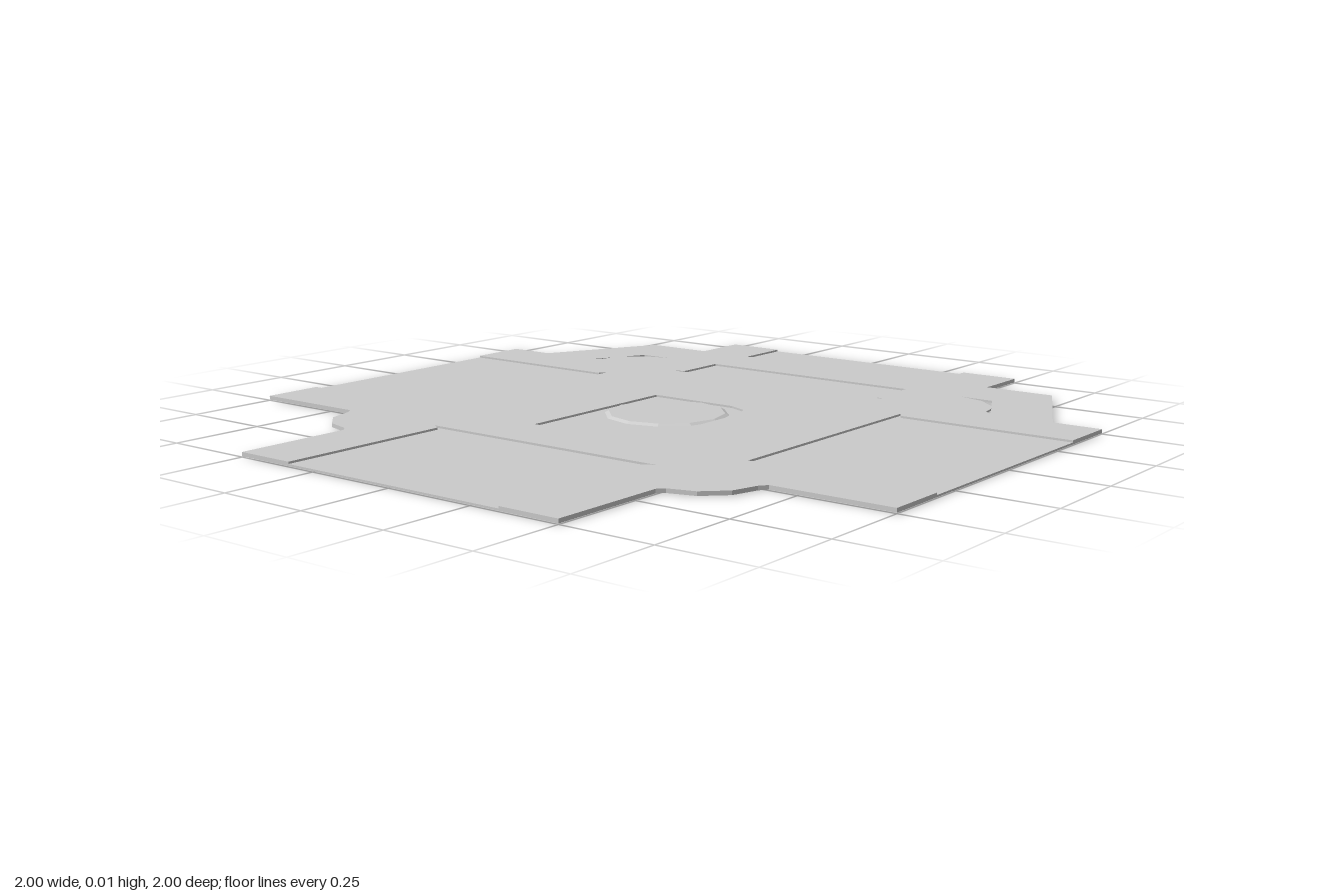
import * as THREE from 'three';

const FOOT = 0.002, FLOOR = 0.007, TOP = 0.0125;

const flip = pts => pts.map(([x, z]) => [x, -z]).reverse();
const mirrored = half => [...half, ...flip(half)];
const vectors = pts => pts.map(p => new THREE.Vector2(...p));

export function createModel() {
  const group = new THREE.Group();
  const material = new THREE.MeshStandardMaterial({ color: 0xcccccc, flatShading: true });

  const add = (name, geometry) => {
    const mesh = new THREE.Mesh(geometry, material);
    mesh.name = name;
    group.add(mesh);
    return mesh;
  };

  // Flat slab cut from an (x, z) outline between two heights
  const slab = (name, outline, bottom, top, holes = []) => {
    const shape = new THREE.Shape(vectors(outline));
    holes.forEach(h => shape.holes.push(new THREE.Path(vectors(h))));
    const geometry = new THREE.ExtrudeGeometry(shape, { depth: top - bottom, bevelEnabled: false });
    geometry.rotateX(Math.PI / 2).translate(0, top, 0);
    return add(name, geometry);
  };

  // Rounded inner corner shared by both layers
  const lobe = [[-0.5, 0.675], [-0.52, 0.66], [-0.59, 0.64], [-0.643, 0.585], [-0.663, 0.515], [-0.68, 0.5]];
  const lobeRight = lobe.map(([x, z]) => [-x, z]).reverse();

  // Lower plate: cross with four lobes
  slab('basePlate', mirrored([
    [1, 0.5], ...lobeRight, [0.5, 1], [-0.5, 1], ...lobe, [-1, 0.5],
  ]), FOOT, FLOOR);

  // Upper layer: open recesses on the arms, closed recesses and corner slits as holes
  const slits = [
    [[0.503, 0.684], [0.565, 0.655], [0.52, 0.663]],
    [[0.595, 0.64], [0.662, 0.605], [0.664, 0.51], [0.643, 0.585]],
  ];
  slab('raisedLayer', mirrored([
    [0.833, 0.333], [1, 0.333], [1, 0.5], [0.833, 0.5], [0.833, 0.7], [0.5, 0.865], [0.5, 1],
    [0.333, 1], [0.333, 0.515], [0.355, 0.5], [-0.333, 0.5], [-0.333, 1], [-0.5, 1],
    ...lobe, [-1, 0.5], [-1, 0.333], [-0.515, 0.333], [-0.5, 0.36],
  ]), FLOOR, TOP, [
    mirrored([[0.667, 0.333], [0.515, 0.333], [0.5, 0.36]]),
    [[-0.333, -0.168], [0.168, -0.168], [0.168, 0.09], [0.145, 0.145], [0.09, 0.168], [-0.333, 0.168]],
    ...slits, ...slits.map(flip),
  ]);

  // Twelve-sided tapered disc in the centre recess
  const disc = add('centreDisc', new THREE.CylinderGeometry(0.155, 0.166, TOP - FLOOR, 12));
  disc.position.y = (FLOOR + TOP) / 2;

  // Shallow pads under the plate
  for (const side of [1, -1]) {
    const pad = add(side > 0 ? 'frontPad' : 'backPad', new THREE.BoxGeometry(0.5, FOOT, 0.167));
    pad.position.set(0, FOOT / 2, side * 0.4165);
  }

  return group;
}
